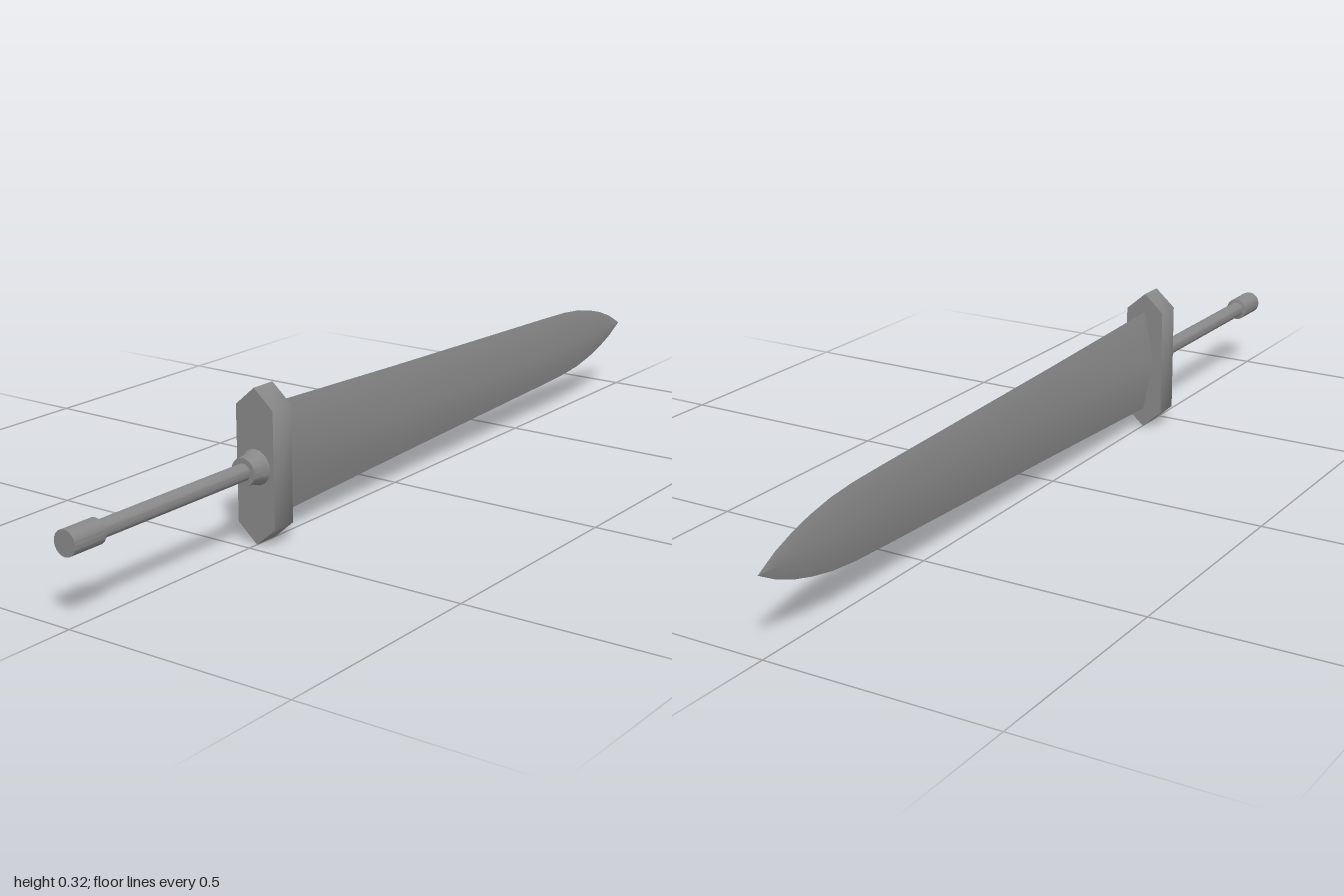
import * as THREE from 'three';
import { toCreasedNormals } from 'three/addons/utils/BufferGeometryUtils.js';

const MID = 0.162; // height of the sword's long axis
const material = new THREE.MeshStandardMaterial({ color: 0x888888 });

function add(group, name, geometry) {
  const mesh = new THREE.Mesh(geometry, material);
  mesh.name = name;
  mesh.position.y = MID;
  group.add(mesh);
  return mesh;
}

// Round part along x from [x, radius] pairs, ordered from -x to +x
function turned(profile) {
  const points = profile.map(([x, r]) => new THREE.Vector2(r, x));
  const geometry = new THREE.LatheGeometry(points, 20);
  geometry.rotateZ(-Math.PI / 2);
  return toCreasedNormals(geometry, 0.6);
}

// One face of the blade: cutting edge, raised central ridge, cutting edge
function bladeSide() {
  // [x, half width, half thickness]
  const sections = [
    [-0.43, 0.119, 0.025], [0, 0.103, 0.022], [0.4, 0.09, 0.0195],
    [0.62, 0.083, 0.018], [0.72, 0.079, 0.017], [0.79, 0.072, 0.0155],
    [0.85, 0.06, 0.013], [0.9, 0.046, 0.01], [0.95, 0.027, 0.006], [1, 0, 0],
  ];
  const positions = [], index = [];
  sections.forEach(([x, h, t], i) => {
    positions.push(x, h, 0, x, 0, t, x, -h, 0);
    if (i === sections.length - 1) return;
    for (let k = 0; k < 2; k++) {
      const a = i * 3 + k, b = a + 3;
      index.push(a, a + 1, b + 1, a, b + 1, b);
    }
  });
  const geometry = new THREE.BufferGeometry();
  geometry.setAttribute('position', new THREE.Float32BufferAttribute(positions, 3));
  geometry.setIndex(index);
  geometry.computeVertexNormals();
  return geometry;
}

export function createModel() {
  const group = new THREE.Group();
  group.name = 'sword';

  // Blade, the second face turned half way round the long axis
  const side = bladeSide();
  add(group, 'bladeFront', side);
  add(group, 'bladeBack', side).rotation.x = Math.PI;

  // Elongated hexagonal guard, softly shaded where its flanks turn to the points
  const outline = [[0, 0.162], [-0.046, 0.122], [-0.046, -0.122],
    [0, -0.162], [0.046, -0.122], [0.046, 0.122]];
  const shape = new THREE.Shape(outline.map(([z, y]) => new THREE.Vector2(z, y)));
  const guard = new THREE.ExtrudeGeometry(shape, { depth: 0.058, bevelEnabled: false });
  guard.rotateY(Math.PI / 2).translate(-0.476, 0, 0);
  add(group, 'guard', toCreasedNormals(guard, 0.9));

  // Handle
  add(group, 'collar', turned([[-0.514, 0], [-0.514, 0.029], [-0.49, 0.031], [-0.474, 0.038]]));
  add(group, 'grip', turned([[-0.93, 0.018], [-0.51, 0.018]]));
  add(group, 'pommel', turned([[-1, 0], [-1, 0.026], [-0.922, 0.026], [-0.92, 0.018]]));

  return group;
}
